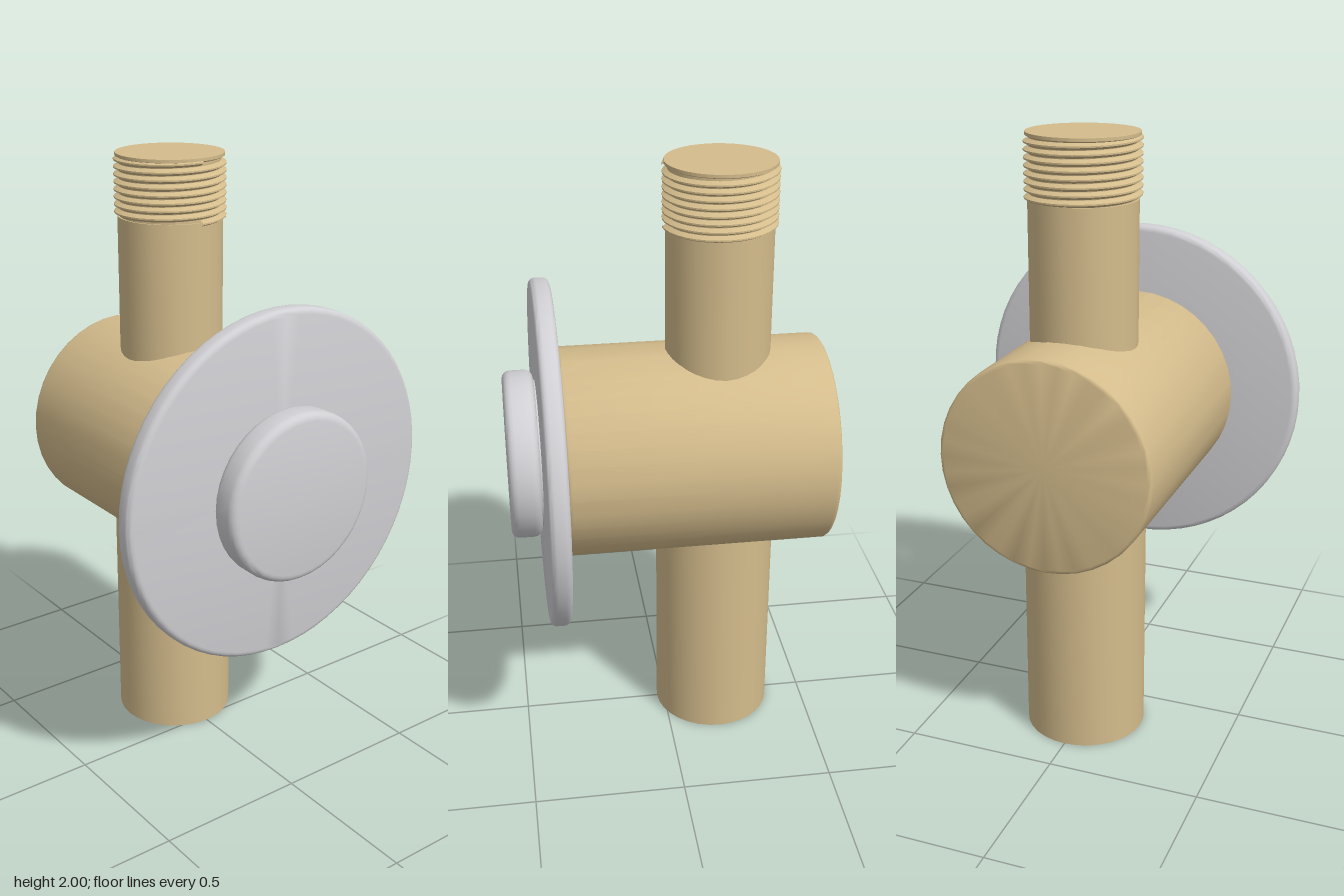
import * as THREE from 'three';
import { toCreasedNormals } from 'three/addons/utils/BufferGeometryUtils.js';

const AXIS_Y = 1.045; // height of the valve axis
const PIPE_Z = -0.175; // depth of the two pipes

const brass = new THREE.MeshStandardMaterial({ color: 0xd4bc8c });
brass.name = 'brass';
const chrome = new THREE.MeshStandardMaterial({ color: 0xd0d0d4 });
chrome.name = 'chrome';

// Turned part from a [radius, height] profile, with sharp edges kept
function turned(name, profile, segments, material) {
  const points = profile.map(([r, y]) => new THREE.Vector2(r, y));
  const geometry = toCreasedNormals(new THREE.LatheGeometry(points, segments), 0.6);
  const mesh = new THREE.Mesh(geometry, material);
  mesh.name = name;
  return mesh;
}

// Closed disc profile with rounded rims
function disc(radius, from, to, round) {
  const points = [[0, from]];
  const steps = 4;
  for (const [start, centre] of [[-Math.PI / 2, from + round], [0, to - round]]) {
    for (let i = 0; i <= steps; i++) {
      const a = start + (i / steps) * (Math.PI / 2);
      points.push([radius - round + Math.cos(a) * round, centre + Math.sin(a) * round]);
    }
  }
  points.push([0, to]);
  return points;
}

// Helical thread: a toothed profile lifted by one pitch per turn
function thread(bottom, top, turns, inner, outer) {
  const pitch = (top - bottom) / (turns + 1);
  const points = [];
  for (let i = 0; i < turns; i++) {
    const y = bottom + i * pitch;
    points.push(new THREE.Vector2(inner, y), new THREE.Vector2(outer, y + pitch * 0.4),
      new THREE.Vector2(outer, y + pitch * 0.6));
  }
  points.push(new THREE.Vector2(inner, bottom + turns * pitch));
  const geometry = new THREE.LatheGeometry(points, 32);
  const { position, uv } = geometry.attributes;
  for (let i = 0; i < position.count; i++) {
    position.setY(i, position.getY(i) + uv.getX(i) * pitch);
  }
  const mesh = new THREE.Mesh(toCreasedNormals(geometry, 0.6), brass);
  mesh.name = 'thread';
  return mesh;
}

export function createModel() {
  const model = new THREE.Group();
  model.name = 'wallValve';

  // Parts turned about the front-to-back axis
  const valve = new THREE.Group();
  valve.name = 'valve';
  valve.rotation.x = Math.PI / 2;
  valve.position.y = AXIS_Y;
  valve.add(
    turned('body', disc(0.345, -0.52, 0.345, 0.015), 40, brass),
    turned('bodyCollar', disc(0.31, 0.33, 0.36, 0.005), 40, brass),
    turned('wallFlange', disc(0.57, 0.35, 0.415, 0.02), 64, chrome),
    turned('buttonStem', disc(0.24, 0.4, 0.435, 0.005), 40, chrome),
    turned('button', disc(0.275, 0.42, 0.52, 0.026), 40, chrome)
  );

  // Upright pipes
  const pipes = new THREE.Group();
  pipes.name = 'pipes';
  pipes.position.z = PIPE_Z;
  pipes.add(
    turned('outletPipe', [[0, 0.72], [0.168, 0.72], [0.168, 0], [0.2, 0], [0.2, 0.95]], 32, brass),
    turned('inletPipe', [[0.17, 1.1], [0.17, 1.8], [0.164, 1.8], [0.164, 1.985], [0.175, 1.99],
      [0.175, 2], [0, 2]], 32, brass),
    thread(1.785, 1.998, 8, 0.162, 0.18)
  );

  model.add(valve, pipes);
  return model;
}
